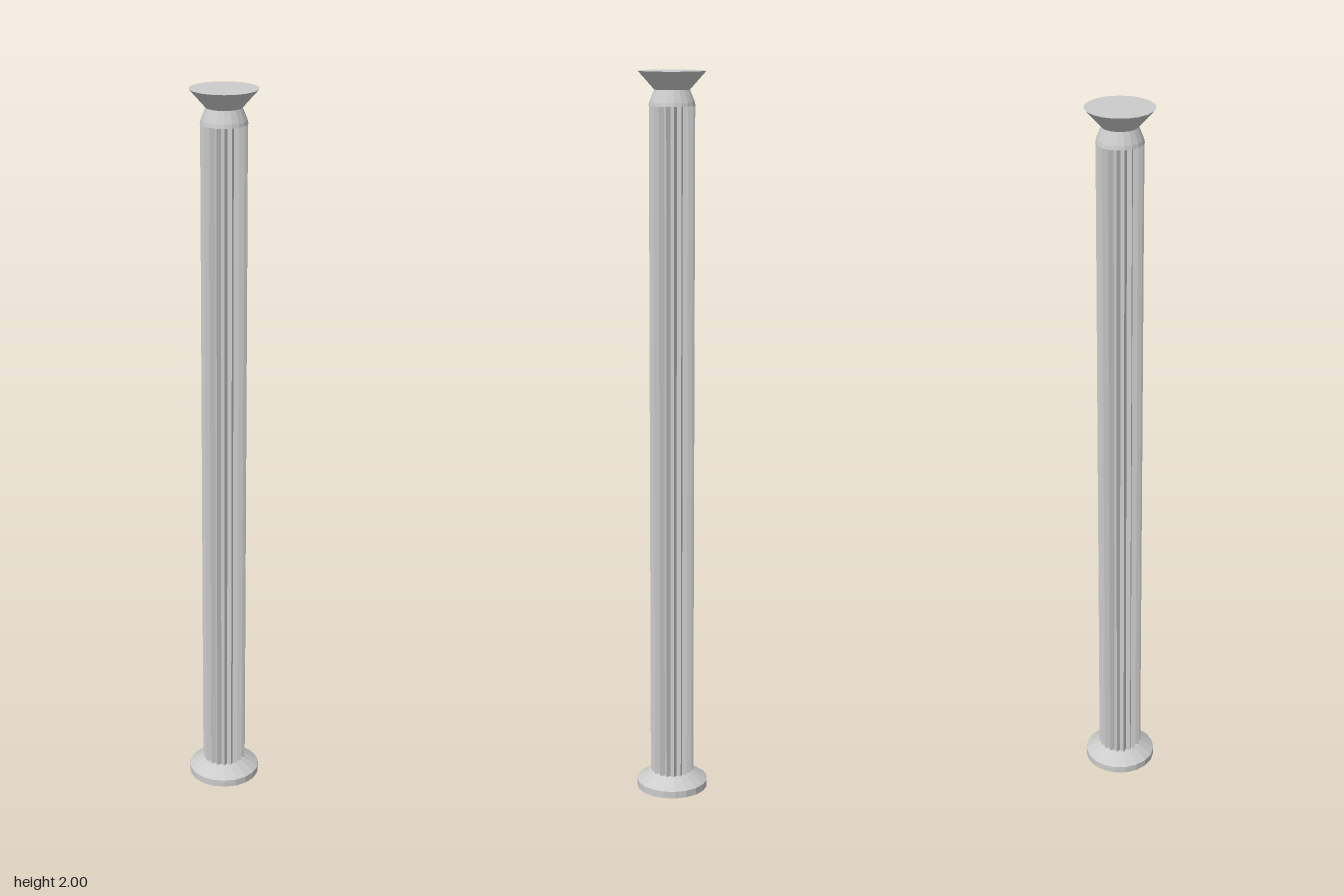
import * as THREE from 'three';

const SIDES = 19;
const material = new THREE.MeshStandardMaterial({ color: 0xcccccc, flatShading: true });

// Faceted turned part from a list of [radius, height], bottom to top
function turned(name, profile) {
  const points = profile.map(([r, y]) => new THREE.Vector2(r, y));
  const mesh = new THREE.Mesh(new THREE.LatheGeometry(points, SIDES, Math.PI), material);
  mesh.name = name;
  return mesh;
}

// Shaft with V-shaped flutes cut between sharp ridges
function flutedShaft(bottom, top, ridge, groove) {
  const points = [];
  for (let i = 0; i < SIDES * 2; i++) {
    const a = Math.PI / 2 + (i * Math.PI) / SIDES;
    const r = i % 2 ? groove : ridge;
    points.push(new THREE.Vector2(r * Math.cos(a), r * Math.sin(a)));
  }
  const geometry = new THREE.ExtrudeGeometry(new THREE.Shape(points), {
    depth: top - bottom,
    bevelEnabled: false,
  });
  geometry.rotateX(-Math.PI / 2).translate(0, bottom, 0);
  const mesh = new THREE.Mesh(geometry, material);
  mesh.name = 'flutedShaft';
  return mesh;
}

export function createModel() {
  const column = new THREE.Group();
  column.name = 'column';
  column.add(
    turned('base', [[0, 0], [0.1, 0], [0.1, 0.02], [0.06, 0.047], [0, 0.047]]),
    flutedShaft(0.04, 1.915, 0.061, 0.051),
    // Collar narrows to a neck, then flares to the flat top
    turned('capital', [[0, 1.91], [0.062, 1.91], [0.06, 1.92], [0.047, 1.952], [0.09, 2], [0, 2]]),
  );
  return column;
}
